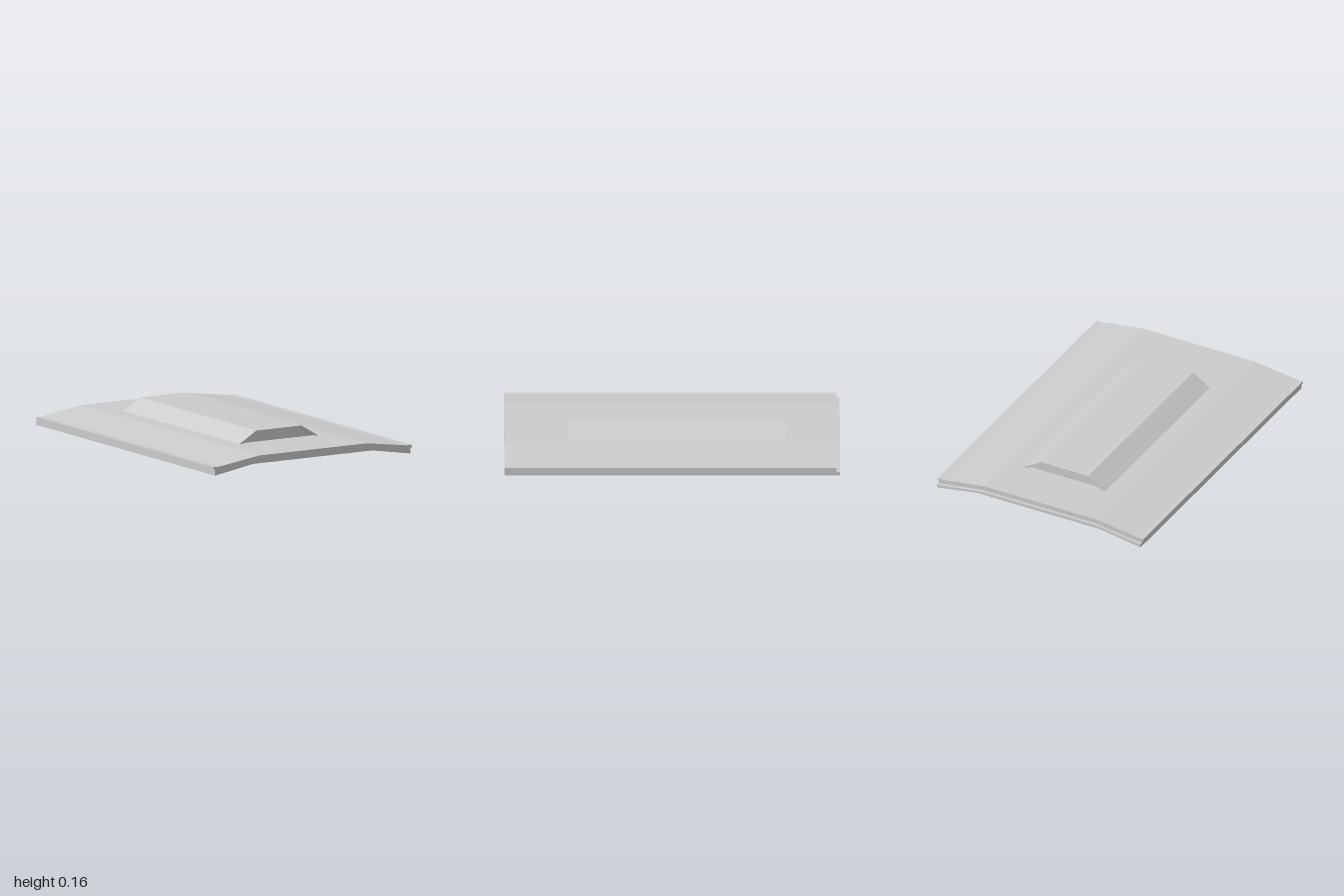
import * as THREE from 'three';

const material = new THREE.MeshStandardMaterial({ color: 0xcccccc, side: THREE.DoubleSide });

// Height of the crowned top surface at x
function topY(x) {
  const a = Math.abs(x);
  if (a <= 0.38) return 0.092;
  if (a >= 0.66) return 0.052;
  return 0.092 - (0.04 * (a - 0.38)) / 0.28;
}

// Height of the skirt's lower edge at x
function skirtY(x) {
  const a = Math.abs(x);
  return a <= 0.42 ? 0.045 : 0.045 - (0.045 * (a - 0.42)) / 0.27;
}

const below = (d) => (x) => topY(x) - d;
const BREAKS = [-0.66, -0.42, -0.38, 0.38, 0.42, 0.66];

function extrudeZ(points, z0, z1, holePoints) {
  const shape = new THREE.Shape(points.map((p) => new THREE.Vector2(...p)));
  if (holePoints) shape.holes.push(new THREE.Path(holePoints.map((p) => new THREE.Vector2(...p))));
  const geo = new THREE.ExtrudeGeometry(shape, { depth: z1 - z0, bevelEnabled: false });
  return geo.translate(0, 0, z0);
}

function add(group, name, geo) {
  const mesh = new THREE.Mesh(geo, material);
  mesh.name = name;
  group.add(mesh);
  return mesh;
}

// Slab between two height functions, following the crown
function slab(group, name, x0, x1, z0, z1, upper, lower) {
  const xs = [x0, ...BREAKS.filter((b) => b > x0 + 1e-4 && b < x1 - 1e-4), x1];
  const bottom = xs.map((x) => [x, lower(x)]);
  const top = xs.map((x) => [x, upper(x)]).reverse();
  return add(group, name, extrudeZ([...bottom, ...top], z0, z1));
}

function box(group, name, w, h, d, x, y, z) {
  return add(group, name, new THREE.BoxGeometry(w, h, d).translate(x, y, z));
}

export function createModel() {
  const model = new THREE.Group();
  model.name = 'ventedRoofPanel';

  // Outer skin with an opening beneath the raised scoop
  const skin = new THREE.Group();
  skin.name = 'outerSkin';
  model.add(skin);
  const SZ0 = -0.68, SZ1 = 0.62, HOLE = 0.257;
  const skinTop = below(0), skinLow = below(0.015);
  slab(skin, 'frontSkin', -0.7, 0.7, SZ1 - 0.025, 1, skinTop, skinLow);
  slab(skin, 'backSkin', -0.7, 0.7, -0.98, SZ0 + 0.025, skinTop, skinLow);
  slab(skin, 'rightSkin', -0.7, -HOLE, SZ0 + 0.025, SZ1 - 0.025, skinTop, skinLow);
  slab(skin, 'leftSkin', HOLE, 0.7, SZ0 + 0.025, SZ1 - 0.025, skinTop, skinLow);

  // Skirt around the edge; the back steps out below the skin
  const skirt = new THREE.Group();
  skirt.name = 'skirt';
  model.add(skirt);
  slab(skirt, 'frontSkirt', -0.69, 0.69, 0.985, 1, skinLow, skirtY);
  slab(skirt, 'backSkirtUpper', -0.69, 0.69, -0.98, -0.965, skinLow, skirtY);
  slab(skirt, 'backSkirtStep', -0.69, 0.69, -1, -0.98, below(0.028), skirtY);
  slab(skirt, 'leftSkirt', 0.675, 0.69, -0.98, 0.985, skinLow, skirtY);
  slab(skirt, 'rightSkirt', -0.69, -0.675, -0.98, 0.985, skinLow, skirtY);

  // Inner panel in columns, leaving the scoop opening and two long pockets
  const inner = new THREE.Group();
  inner.name = 'innerPanel';
  model.add(inner);
  const Z0 = -0.93, Z1 = 0.95;
  const pocket = [-0.79, 0.69], opening = [-0.69, 0.63];
  const columns = [
    [-0.645, -0.57, null], [-0.57, -0.39, pocket], [-0.39, -0.28, null],
    [-0.28, 0.28, opening],
    [0.28, 0.39, null], [0.39, 0.57, pocket], [0.57, 0.645, null],
  ];
  for (const [x0, x1, gap] of columns) {
    const spans = gap ? [[Z0, gap[0]], [gap[1], Z1]] : [[Z0, Z1]];
    for (const [a, b] of spans) slab(inner, 'innerPanelSection', x0, x1, a, b, skinLow, below(0.028));
  }

  // Raised scoop: hollow trapezoid shell with recessed end walls
  const scoop = new THREE.Group();
  scoop.name = 'scoop';
  model.add(scoop);
  const shell = [
    [-0.28, 0.09], [-0.257, 0.09], [-0.15, 0.151], [0.15, 0.151],
    [0.257, 0.09], [0.28, 0.09], [0.16, 0.163], [-0.16, 0.163],
  ];
  add(scoop, 'scoopShell', extrudeZ(shell, SZ0, SZ1));
  const wall = [[-0.257, 0.085], [0.257, 0.085], [0.15, 0.151], [-0.15, 0.151]];
  add(scoop, 'scoopFrontWall', extrudeZ(wall, SZ1 - 0.03, SZ1 - 0.02));
  add(scoop, 'scoopBackWall', extrudeZ(wall, SZ0 + 0.02, SZ0 + 0.03));

  // Small clips along the inside of the skirt
  const clips = new THREE.Group();
  clips.name = 'clips';
  model.add(clips);
  for (const side of [-1, 1]) {
    box(clips, 'frontClip', 0.055, 0.012, 0.02, side * 0.255, 0.047, 0.975);
    box(clips, 'backClip', 0.055, 0.012, 0.02, side * 0.255, 0.047, -0.975);
    for (const z of [0.6, 0.18, -0.13, -0.56]) {
      box(clips, 'sideClip', 0.02, 0.02, 0.06, side * 0.667, 0.02, z);
    }
  }
  return model;
}
